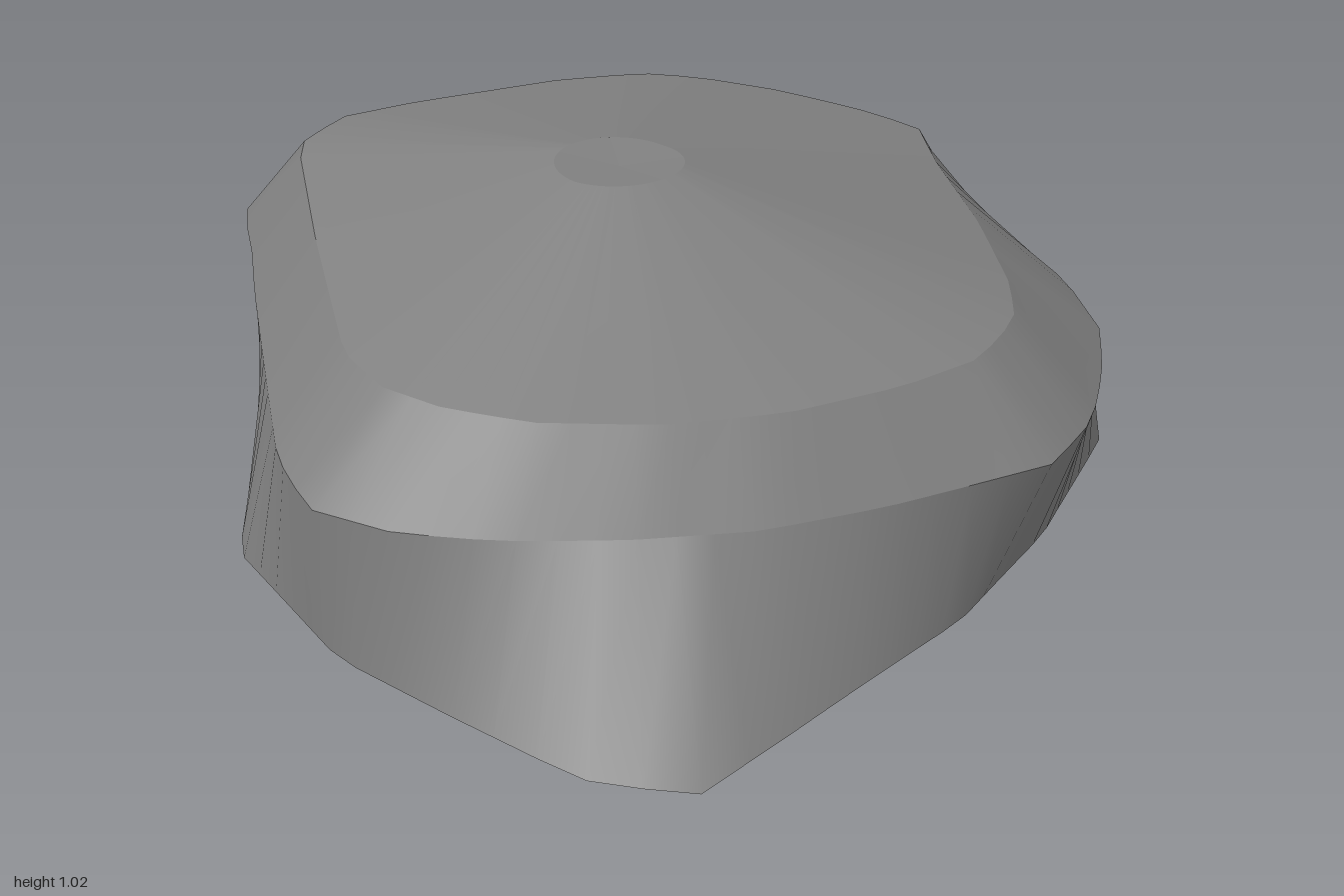
import * as THREE from 'three';

const SIDES = 72;
const CENTRE = [0.06, 0.03];

// Outlines of the boulder at its ridges, as [x, z] going round from +x towards +z
const lowerOutline = [
  [0.95, 0.05], [0.94, 0.56], [0.93, 0.77], [0.75, 0.87], [0.45, 0.9], [0.17, 0.92],
  [-0.04, 0.87], [-0.25, 0.82], [-0.4, 0.68], [-0.58, 0.47], [-0.72, 0.26], [-0.79, 0.02],
  [-0.77, -0.22], [-0.71, -0.44], [-0.4, -0.67], [0.04, -0.81], [0.3, -0.85],
  [0.52, -0.88], [0.7, -0.83], [0.77, -0.64], [0.88, -0.32],
];
const middleOutline = [
  [0.94, 0.02], [0.87, 0.2], [0.76, 0.42], [0.61, 0.61], [0.45, 0.77], [0.3, 0.88],
  [0.13, 0.935], [-0.05, 0.86], [-0.25, 0.72], [-0.45, 0.58], [-0.62, 0.46], [-0.78, 0.34],
  [-0.96, 0.22], [-1, 0.01], [-0.9, -0.44], [-0.77, -0.61], [-0.6, -0.71], [-0.4, -0.8],
  [-0.2, -0.86], [-0.03, -0.9], [0.14, -0.94], [0.3, -0.92], [0.43, -0.87], [0.58, -0.8],
  [0.76, -0.66], [0.87, -0.5], [0.96, -0.33], [1, -0.14],
];
const upperOutline = [
  [0.79, 0.06], [0.7, 0.28], [0.57, 0.47], [0.4, 0.63], [0.25, 0.71], [0.12, 0.74],
  [-0.02, 0.71], [-0.4, 0.46], [-0.77, 0.2], [-0.815, 0.04], [-0.76, -0.13], [-0.62, -0.45],
  [-0.51, -0.62], [-0.4, -0.7], [-0.22, -0.78], [-0.03, -0.83], [0.13, -0.85],
  [0.26, -0.74], [0.5, -0.57], [0.7, -0.4], [0.79, -0.29], [0.83, -0.12],
];

// Walks round an outline at even angles, with the height given by a rule
function ring(outline, height) {
  const points = [];
  for (let i = 0; i < SIDES; i++) {
    const a = (i / SIDES) * Math.PI * 2;
    const dx = Math.cos(a), dz = Math.sin(a);
    let reach = 0;
    outline.forEach(([x1, z1], k) => {
      const [x2, z2] = outline[(k + 1) % outline.length];
      const ex = x2 - x1, ez = z2 - z1;
      const px = x1 - CENTRE[0], pz = z1 - CENTRE[1];
      const det = dx * ez - dz * ex;
      if (Math.abs(det) < 1e-9) return;
      const r = (px * ez - pz * ex) / det;
      const u = (px * dz - pz * dx) / det;
      if (r > 0 && u >= -1e-6 && u <= 1 + 1e-6) reach = Math.max(reach, r);
    });
    const x = CENTRE[0] + dx * reach, z = CENTRE[1] + dz * reach;
    points.push([x, height(x, z), z]);
  }
  return points;
}

// Small round ring (radius 0 gives the centre of a cap)
function disc(cx, cz, radius, height) {
  return Array.from({ length: SIDES }, (_, i) => {
    const a = (i / SIDES) * Math.PI * 2;
    const x = cx + radius * Math.cos(a), z = cz + radius * Math.sin(a);
    return [x, height(x, z), z];
  });
}

// Surface between two rings: smooth around, creased where it meets the next band
function band(low, high) {
  const index = [];
  for (let i = 0; i < SIDES; i++) {
    const j = (i + 1) % SIDES;
    index.push(i, SIDES + i, j, j, SIDES + i, SIDES + j);
  }
  const geometry = new THREE.BufferGeometry();
  geometry.setAttribute('position', new THREE.Float32BufferAttribute([...low, ...high].flat(), 3));
  geometry.setIndex(index);
  geometry.computeVertexNormals();
  return geometry;
}

export function createModel() {
  const stone = new THREE.MeshStandardMaterial({ color: 0x808080 });
  stone.name = 'grey stone';

  const baseHeight = (x, z) => Math.max(0, -0.2 * z);
  const topHeight = (x) => 1.018 + 0.006 * Math.abs(x - 0.06) / 0.13;
  const rings = [
    disc(0.1, 0.02, 0, baseHeight),
    disc(0.1, 0.02, 0.21, baseHeight),
    ring(lowerOutline, (x, z) => 0.352 - 0.042 * z * z - 0.01 * x * x),
    ring(middleOutline, (x, z) => 0.645 - 0.025 * x - 0.015 * z),
    ring(upperOutline, (x, z) => 0.835 - 0.06 * x - 0.04 * z),
    disc(0.06, 0.05, 0.13, topHeight),
    disc(0.06, 0.05, 0, () => 1.012),
  ];
  const names = ['base', 'underside', 'lowerWall', 'upperWall', 'topSlope', 'crown'];

  const boulder = new THREE.Group();
  boulder.name = 'boulder';
  names.forEach((name, i) => {
    const mesh = new THREE.Mesh(band(rings[i], rings[i + 1]), stone);
    mesh.name = name;
    boulder.add(mesh);
  });
  return boulder;
}
